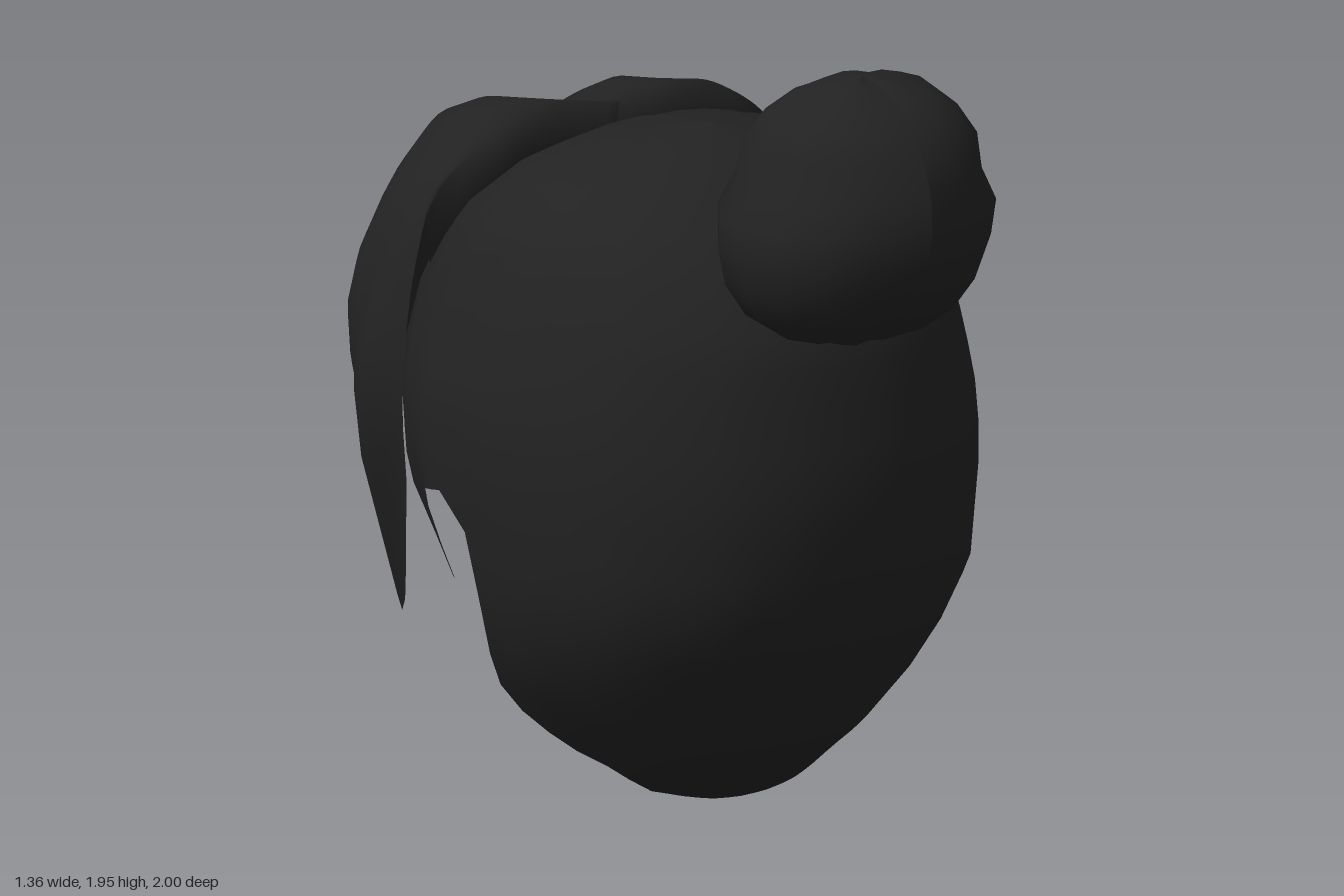
import * as THREE from 'three';

const hair = new THREE.MeshStandardMaterial({ color: 0x222223, side: THREE.DoubleSide });
hair.name = 'black hair';

// Smooth grid surface from a rule point(u, v)
function surface(name, nu, nv, point) {
  const pos = [], idx = [];
  for (let i = 0; i <= nu; i++)
    for (let j = 0; j <= nv; j++) pos.push(...point(i / nu, j / nv));
  for (let i = 0; i < nu; i++)
    for (let j = 0; j < nv; j++) {
      const a = i * (nv + 1) + j, b = a + nv + 1;
      idx.push(a, a + 1, b, b, a + 1, b + 1);
    }
  const geo = new THREE.BufferGeometry();
  geo.setAttribute('position', new THREE.Float32BufferAttribute(pos, 3));
  geo.setIndex(idx);
  geo.computeVertexNormals();
  const mesh = new THREE.Mesh(geo, hair);
  mesh.name = name;
  return mesh;
}

// Linear lookup in a table whose first column is the key
function lookup(table, k, col) {
  let i = 1;
  while (i < table.length - 1 && table[i][0] < k) i++;
  const a = table[i - 1], b = table[i];
  const t = THREE.MathUtils.clamp((k - a[0]) / (b[0] - a[0]), 0, 1);
  return a[col] + (b[col] - a[col]) * t;
}

// Cap cross-sections: height, half width, rear z, middle z, brow z
const rings = [
  [0, 0.3, 0.17, -0.1, -0.4], [0.15, 0.43, 0.36, -0.1, -0.5],
  [0.31, 0.55, 0.49, -0.09, -0.57], [0.4, 0.6, 0.55, -0.06, -0.62],
  [0.58, 0.655, 0.65, -0.035, -0.65], [0.72, 0.67, 0.67, -0.06, -0.7],
  [0.87, 0.685, 0.69, -0.08, -0.75], [1.05, 0.68, 0.67, -0.1, -0.75],
  [1.27, 0.62, 0.64, -0.08, -0.72], [1.45, 0.55, 0.52, -0.05, -0.6],
  [1.56, 0.45, 0.4, 0, -0.45], [1.66, 0.25, 0.24, 0.02, -0.24],
  [1.7, 0, 0.05, 0.05, 0.05],
];
// Cap hem: angle from the rear in degrees, height
const hem = [
  [0, 0], [14, 0.005], [45, 0.04], [72, 0.15], [88, 0.24], [90, 0.31],
  [90.3, 0.4], [90.6, 0.57], [91, 0.72], [97, 0.81], [103, 0.8], [106, 0.73],
  [112, 0.54], [114.5, 0.54], [115, 0.65], [119, 0.77], [130, 1.05], [180, 1.2],
];
const angles = [0, 7, 14, 22, 30, 38, 45, 54, 63, 72, 80, 88, 90, 90.3, 90.6, 91, 94,
  97, 100, 103, 106, 109, 112, 114.5, 115, 119, 130, 145, 162, 180];
const sweep = [...angles.slice(1).reverse().map((a) => -a), ...angles];

function capPoint(u, v) {
  const deg = sweep[Math.round(u * (sweep.length - 1))];
  const a = THREE.MathUtils.degToRad(deg);
  const y = 1.7 - (1.7 - lookup(hem, Math.abs(deg), 1)) * Math.pow(v, 1.5);
  const [w, rear, mid, brow] = [1, 2, 3, 4].map((c) => lookup(rings, y, c));
  const s = Math.sin(a), c = Math.cos(a);
  const strand = 1 + 0.012 * Math.cos(a * 14);
  const depth = c > 0 ? rear - mid : mid - brow;
  // Temple wisps curl slightly inward
  const tuck = Math.abs(deg) > 103 ? 1 - 0.35 * Math.max(0, 0.78 - y) : 1;
  return [
    w * strand * tuck * Math.sign(s) * Math.pow(Math.abs(s), 0.92),
    y,
    mid + depth * Math.sign(c) * Math.pow(Math.abs(c), 0.92),
  ];
}

// Fringe locks from the parting to the temple: root, brow, cheek, tip
const locks = [
  [[-0.01, 1.66, -0.37], [-0.02, 1.55, -0.68], [-0.02, 1.3, -0.84], [-0.02, 1.06, -0.87]],
  [[0.1, 1.68, -0.37], [0.11, 1.58, -0.74], [0.12, 1.3, -0.91], [0.11, 1.03, -0.94]],
  [[0.18, 1.69, -0.37], [0.22, 1.59, -0.76], [0.22, 1.3, -0.91], [0.2, 0.83, -0.9]],
  [[0.27, 1.68, -0.37], [0.34, 1.54, -0.73], [0.38, 1.25, -0.87], [0.32, 0.97, -0.88]],
  [[0.37, 1.63, -0.37], [0.47, 1.44, -0.66], [0.53, 1.15, -0.77], [0.48, 0.85, -0.75]],
  [[0.44, 1.58, -0.38], [0.53, 1.38, -0.58], [0.58, 1.05, -0.67], [0.53, 0.7, -0.64]],
  [[0.49, 1.53, -0.4], [0.58, 1.32, -0.51], [0.64, 0.95, -0.57], [0.45, 0.37, -0.65]],
  [[0.54, 1.44, -0.42], [0.585, 1.25, -0.42], [0.61, 0.98, -0.42], [0.59, 0.76, -0.43]],
];
const rows = [0, 1, 2, 3].map((r) =>
  new THREE.CatmullRomCurve3(locks.map((l) => new THREE.Vector3(...l[r]))));

function fringePoint(side) {
  return (u, v) => {
    const pts = rows.map((row) => row.getPoint(u));
    // Lip tucked down onto the cap
    if (v === 0) return [side * pts[0].x * 0.95, pts[0].y - 0.13, pts[0].z - 0.02];
    // One lobe has an even hem and sweeps a little further forward
    if (side < 0 && pts[3].x < 0.33) pts[3].y = Math.max(pts[3].y, 1 - 0.25 * pts[3].x);
    const p = new THREE.CatmullRomCurve3(pts).getPoint((v - 0.1) / 0.9);
    const push = side < 0 ? 0.06 * Math.max(0, 1 - Math.abs(p.x - 0.1) / 0.3) : 0;
    return [side * p.x, p.y, p.z - push * THREE.MathUtils.clamp((-p.z - 0.4) * 2, 0, 1)];
  };
}

// Bun: rounded ball with a broader lower coil, a pinched waist and a narrower top
function bunPoint(u, v) {
  const a = u * Math.PI * 2, b = v * Math.PI;
  const x = Math.sin(b) * Math.sin(a), y = Math.cos(b), z = Math.sin(b) * Math.cos(a);
  let r = 1 + 0.3 * x * x * y * y + 0.015 * Math.cos(a * 5 + y * 4);
  r *= 1 - 0.07 * Math.exp(-Math.pow((y - 0.25) / 0.12, 2)) * Math.abs(x);
  const width = 0.36 - 0.03 * THREE.MathUtils.smoothstep(y, -0.1, 0.5);
  return [width * r * x + 0.02 * y, 1.61 + 0.335 * r * y, 0.67 + 0.327 * r * z];
}

export function createModel() {
  const group = new THREE.Group();
  group.name = 'hairstyle';
  group.add(surface('hairCap', sweep.length - 1, 18, capPoint));
  group.add(surface('fringeLeft', 28, 10, fringePoint(1)));
  group.add(surface('fringeRight', 28, 10, fringePoint(-1)));
  group.add(surface('bun', 16, 12, bunPoint));
  return group;
}
